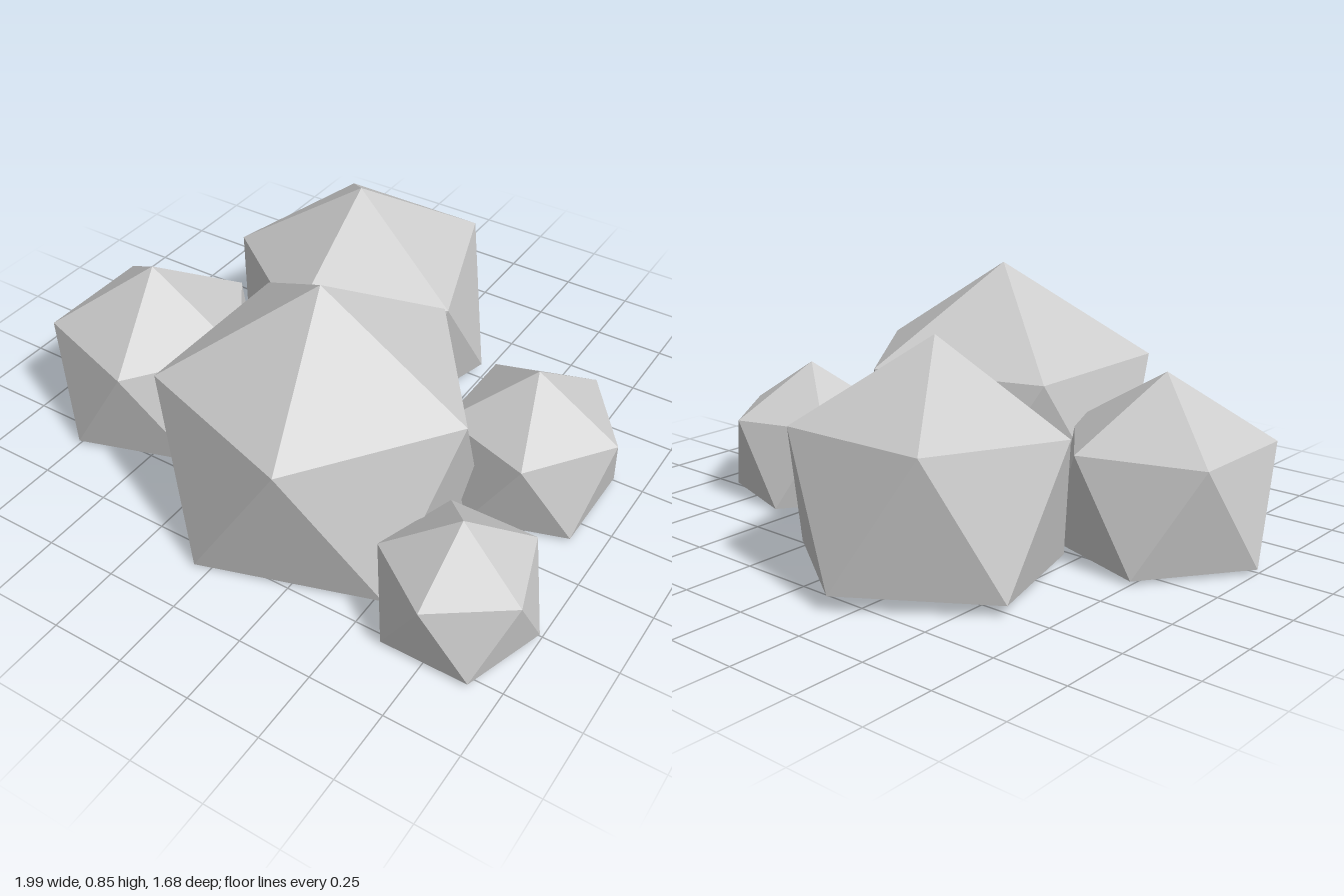
import * as THREE from 'three';
import { ConvexGeometry } from 'three/addons/geometries/ConvexGeometry.js';

// Unit boulder: an icosahedron with its lowest corner cut off flat
function boulderGeometry() {
  const h = 1 / Math.sqrt(5), r = 2 * h;
  const points = [new THREE.Vector3(0, 1, 0)];
  for (let i = 0; i < 5; i++) {
    const a = (i * 2 * Math.PI) / 5, b = a + Math.PI / 5;
    points.push(new THREE.Vector3(r * Math.cos(a), h, r * Math.sin(a)));
    points.push(new THREE.Vector3(r * Math.cos(b), -h, r * Math.sin(b)));
  }
  return new ConvexGeometry(points);
}

export function createModel() {
  const group = new THREE.Group();
  group.name = 'boulderCluster';
  const geometry = boulderGeometry();
  const material = new THREE.MeshStandardMaterial({ color: 0xcccccc, flatShading: true });
  const quarter = -Math.PI / 2; // turns one upper corner to the front

  const boulders = [
    // name, radius, centre, rotation
    ['largeBoulder', 0.58, [0.11, 0.267, 0.34], [0, 0, 0]],
    ['leftlyingBoulder', 0.4, [-0.64, 0.19, 0.245], [0, 0, 0]],
    ['backBoulder', 0.5, [-0.19, 0.247, -0.382], [0.063, quarter + 0.012, -0.012]],
    ['sideBoulder', 0.325, [0.66, 0.152, -0.08], [0, 0, 0]],
    ['smallFrontBoulder', 0.28, [0.755, 0.135, 0.582], [0, quarter, 0]],
  ];
  for (const [name, radius, centre, [tilt, turn, roll]] of boulders) {
    // Turn about the boulder's own axis first, then tilt it
    const mesh = new THREE.Mesh(geometry, material);
    mesh.name = name;
    mesh.scale.setScalar(radius);
    mesh.position.set(...centre);
    mesh.rotation.set(tilt, turn, roll, 'XZY');
    group.add(mesh);
  }
  return group;
}
